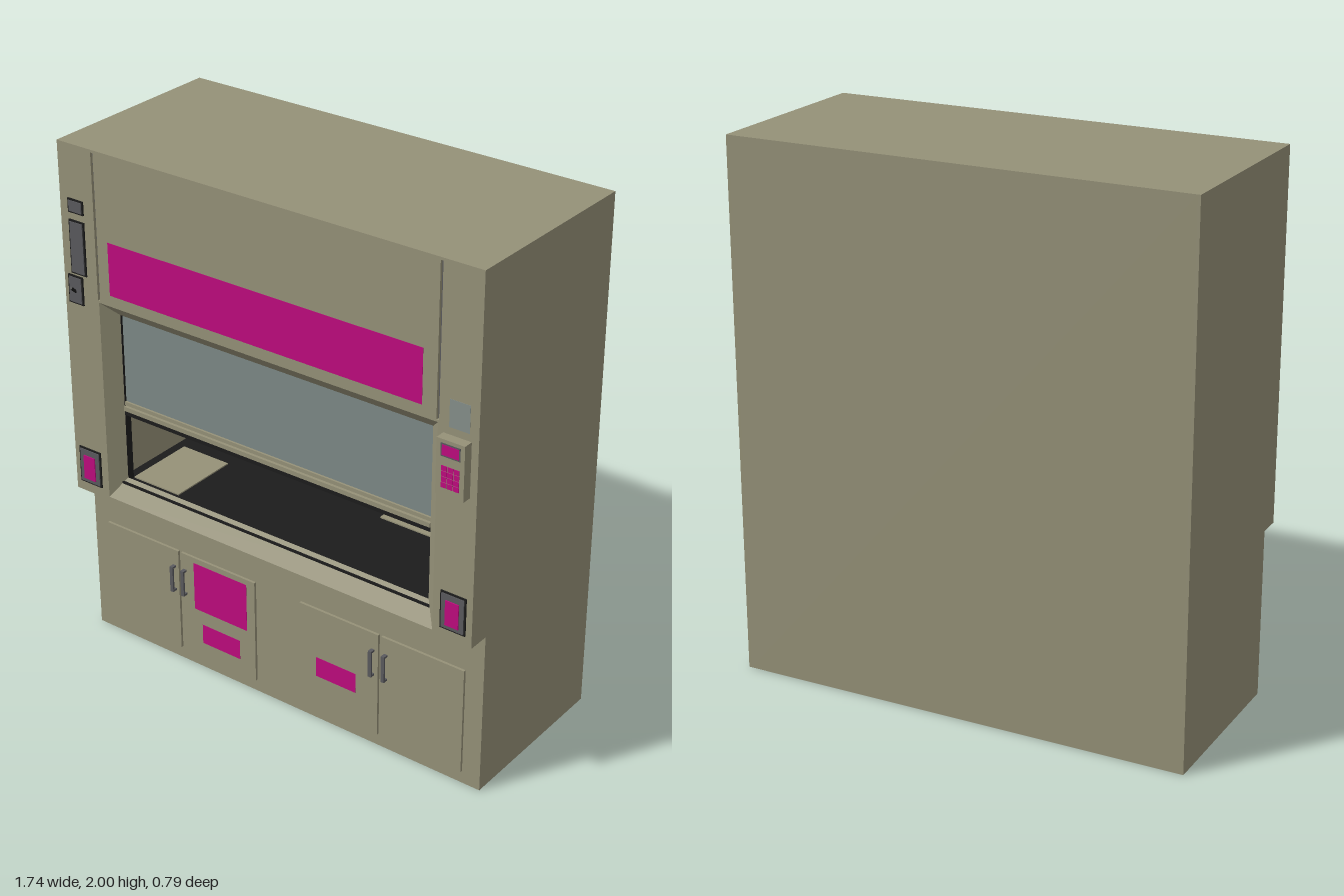
import * as THREE from 'three';

const mat = (color) => new THREE.MeshStandardMaterial({ color, side: THREE.DoubleSide });

export function createModel() {
  const root = new THREE.Group();
  const tan = mat(0x959178), dark = mat(0x5a5a5e), black = mat(0x1c1c1c);
  const magenta = mat(0xbe0b7e), glass = mat(0x7d8986), grey = mat(0xb4b2b4), pale = mat(0x858f8a);

  const add = (name, geo, m, parent = root) => {
    const mesh = new THREE.Mesh(geo, m);
    mesh.name = name;
    parent.add(mesh);
    return mesh;
  };
  // box given by its extents on each axis
  const box = (name, m, x0, x1, y0, y1, z0, z1, parent = root) => {
    const b = add(name, new THREE.BoxGeometry(x1 - x0, y1 - y0, z1 - z0), m, parent);
    b.position.set((x0 + x1) / 2, (y0 + y1) / 2, (z0 + z1) / 2);
    return b;
  };
  const shapeOf = (pts) => new THREE.Shape(pts.map(([x, y]) => new THREE.Vector2(x, y)));
  const rect = (x, y0, y1) => [[-x, y0], [x, y0], [x, y1], [-x, y1]];

  const W = 0.87, BACK = -0.395, FRONT = 0.36, CAB = 0.275, LEDGE = 0.635, T = 0.01;

  // stepped side walls
  const profile = shapeOf([[-BACK, 0], [-BACK, 2], [-FRONT, 2], [-FRONT, LEDGE], [-CAB, LEDGE], [-CAB, 0]]);
  for (const x of [-W, W - T]) {
    const side = add('sideWall', new THREE.ExtrudeGeometry(profile, { depth: T, bevelEnabled: false }), tan);
    side.rotation.y = Math.PI / 2;
    side.position.x = x;
  }
  // remaining shell panels, open underneath
  const I = W - T;
  box('backWall', tan, -I, I, 0, 2, BACK, BACK + T);
  box('topPanel', tan, -I, I, 2 - T, 2, BACK + T, FRONT);
  box('cabinetFront', tan, -I, I, 0, LEDGE, CAB - T, CAB);
  box('ledgeUnderside', tan, -I, I, LEDGE, LEDGE + T, CAB - T, FRONT - T);

  // upper front with two guide grooves and the work opening
  const front = shapeOf([
    [-I, LEDGE], [I, LEDGE], [I, 1.99], [0.718, 1.99], [0.718, 1.44], [0.708, 1.44], [0.708, 1.99],
    [-0.708, 1.99], [-0.708, 1.44], [-0.718, 1.44], [-0.718, 1.99], [-I, 1.99]]);
  const outer = rect(0.714, 0.648, 1.432), inner = rect(0.663, 0.724, 1.38);
  front.holes.push(shapeOf(outer));
  add('upperFront', new THREE.ExtrudeGeometry(front, { depth: T, bevelEnabled: false }), tan).position.z = FRONT - T;
  for (const s of [-1, 1]) {
    box('grooveBack', dark, s * 0.713 - 0.012, s * 0.713 + 0.012, 1.43, 1.99, 0.34, 0.348);
  }

  // sloped frame around the opening
  const pos = [];
  for (let i = 0; i < 4; i++) {
    const j = (i + 1) % 4;
    const a = [...outer[i], FRONT], b = [...outer[j], FRONT], c = [...inner[j], 0.31], d = [...inner[i], 0.31];
    pos.push(...a, ...b, ...c, ...a, ...c, ...d);
  }
  const frame = new THREE.BufferGeometry();
  frame.setAttribute('position', new THREE.Float32BufferAttribute(pos, 3));
  frame.computeVertexNormals();
  add('openingFrame', frame, tan);

  // work chamber
  const chamber = new THREE.Group();
  chamber.name = 'workChamber';
  root.add(chamber);
  box('baffle', grey, -0.7, 0.7, 0.7, 1.7, -0.22, -0.21, chamber);
  box('worktop', black, -0.7, 0.7, 0.69, 0.71, -0.21, 0.325, chamber);
  box('chamberCeiling', tan, -0.7, 0.7, 1.69, 1.7, -0.21, 0.3, chamber);
  box('leftPlate', tan, -0.66, -0.45, 0.71, 0.715, 0, 0.28, chamber);
  box('rightPlate', tan, 0.22, 0.45, 0.71, 0.715, -0.19, -0.03, chamber);
  for (const s of [-1, 1]) {
    box('chamberSide', tan, s * 0.705 - 0.005, s * 0.705 + 0.005, 0.69, 1.7, -0.21, 0.31, chamber);
    box('sashTrack', black, s * 0.668 - 0.005, s * 0.668 + 0.005, 0.71, 1.39, 0.28, 0.31, chamber);
    // small gas outlets on the side walls
    for (const z of [0.05, 0.13]) {
      const curve = new THREE.QuadraticBezierCurve3(
        new THREE.Vector3(s * 0.7, 0.9, z), new THREE.Vector3(s * 0.665, 0.91, z), new THREE.Vector3(s * 0.672, 0.87, z));
      add('gasOutlet', new THREE.TubeGeometry(curve, 8, 0.006, 8), black, chamber);
    }
  }

  // sliding sash
  const sash = new THREE.Group();
  sash.name = 'sash';
  root.add(sash);
  box('sashGlass', glass, -0.663, 0.663, 1.03, 1.45, 0.292, 0.3, sash);
  box('sashRail', tan, -0.663, 0.663, 1.022, 1.036, 0.285, 0.308, sash);
  box('sashHandle', tan, -0.663, 0.663, 1.002, 1.019, 0.285, 0.315, sash);
  box('sashCore', dark, -0.66, 0.66, 0.99, 1.03, 0.286, 0.303, sash);
  box('sashSeal', black, -0.663, 0.663, 0.983, 1.001, 0.285, 0.31, sash);

  // cabinet doors with bar handles
  const doors = [[-0.8, -0.478], [-0.445, -0.427], [0.1, 0.42], [0.455, 0.475]];
  for (const [x, hx] of doors) {
    const door = new THREE.Group();
    door.name = 'door';
    root.add(door);
    box('doorPanel', tan, x, x + 0.342, 0.05, 0.472, CAB, 0.285, door);
    box('handleBar', dark, hx - 0.007, hx + 0.007, 0.3, 0.407, 0.298, 0.305, door);
    for (const y of [0.3, 0.399]) box('handlePost', dark, hx - 0.007, hx + 0.007, y, y + 0.008, 0.285, 0.299, door);
  }

  // flat labels
  const label = (m, x0, x1, y0, y1, z) => box('label', m, x0, x1, y0, y1, z, z + 0.001);
  label(magenta, -0.66, 0.652, 1.475, 1.675, FRONT);
  label(magenta, -0.385, -0.14, 0.253, 0.45, 0.285);
  label(magenta, -0.35, -0.175, 0.115, 0.195, 0.285);
  label(magenta, 0.173, 0.347, 0.19, 0.27, 0.285);
  label(pale, 0.757, 0.835, 1.43, 1.53, FRONT);

  // wall plates: dark surround with a raised centre
  const plate = (name, m, x0, x1, y0, y1, e) => {
    const g = new THREE.Group();
    g.name = name;
    root.add(g);
    box('surround', black, x0, x1, y0, y1, FRONT, 0.365, g);
    box('face', dark, x0 + 0.006, x1 - 0.006, y0 + 0.006, y1 - 0.006, 0.365, 0.368, g);
    if (m) box('insert', m, x0 + e, x1 - e, y0 + e * 0.85, y1 - e * 1.2, 0.368, 0.372, g);
    return g;
  };
  plate('indicator', null, -0.832, -0.763, 1.747, 1.799, 0);
  plate('monitor', null, -0.832, -0.763, 1.517, 1.72, 0);
  plate('socketLeft', magenta, -0.846, -0.745, 0.675, 0.82, 0.024);
  plate('socketRight', magenta, 0.745, 0.846, 0.675, 0.82, 0.024);
  const lightSwitch = plate('lightSwitch', null, -0.85, -0.783, 1.4, 1.508, 0);
  const toggle = add('toggle', new THREE.CylinderGeometry(0.006, 0.005, 0.035, 10), black, lightSwitch);
  toggle.position.set(-0.816, 1.459, 0.377);
  toggle.rotation.x = 0.8;

  // control box with display and keys
  const control = new THREE.Group();
  control.name = 'controlBox';
  root.add(control);
  box('controlBody', tan, 0.735, 0.843, 1.2, 1.403, FRONT, 0.397, control);
  box('displayFrame', dark, 0.752, 0.827, 1.342, 1.39, 0.397, 0.398, control);
  box('display', magenta, 0.757, 0.822, 1.347, 1.385, 0.398, 0.399, control);
  for (let r = 0; r < 4; r++) for (let c = 0; c < 3; c++) {
    const x = 0.757 + c * 0.0235, y = 1.23 + r * 0.0205;
    box('key', magenta, x, x + 0.021, y, y + 0.018, 0.397, 0.399, control);
  }
  return root;
}
